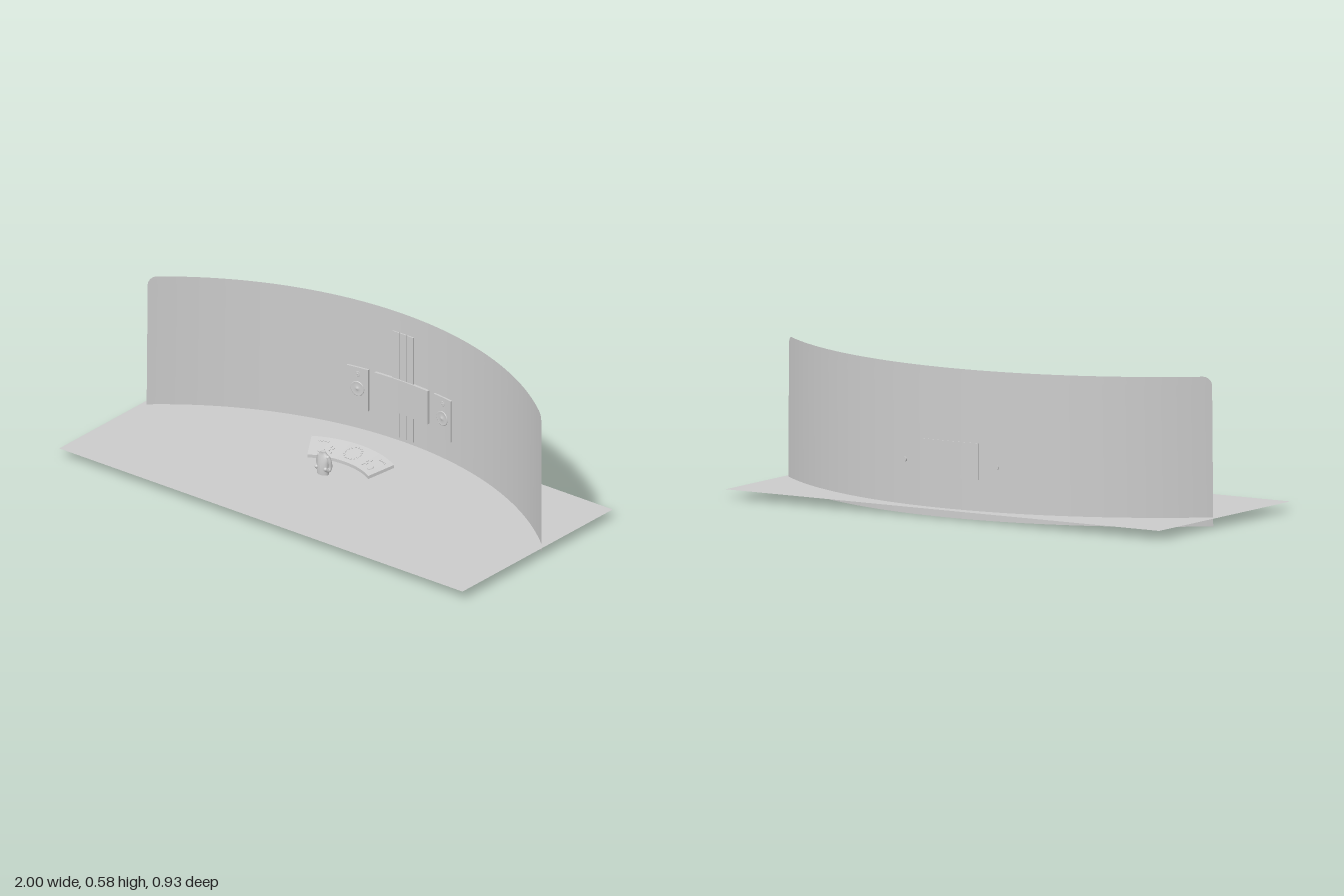
import * as THREE from 'three';

const grey = new THREE.MeshStandardMaterial({ color: 0xcccccc });
const thin = new THREE.MeshStandardMaterial({ color: 0xcccccc, side: THREE.DoubleSide });

// Wall arc: radius, centre in z, half angle, height
const R = 1.492, ZC = 1.075, HALF = 0.7166, H = 0.585;
const FLOOR = 0.035;

function add(parent, name, geometry, material = grey) {
  const mesh = new THREE.Mesh(geometry, material);
  mesh.name = name;
  parent.add(mesh);
  return mesh;
}

// Apply a rule to every vertex
function warp(geometry, rule) {
  const p = geometry.attributes.position;
  const v = new THREE.Vector3();
  for (let i = 0; i < p.count; i++) {
    v.fromBufferAttribute(p, i);
    rule(v);
    p.setXYZ(i, v.x, v.y, v.z);
  }
  geometry.computeVertexNormals();
  return geometry;
}

// Box wrapped along the wall; front and back are depths from its face
function wallPanel(x, width, y0, y1, front, back, segs = 10) {
  const g = new THREE.BoxGeometry(width, y1 - y0, front - back, segs, 1, 1);
  g.translate(x, (y0 + y1) / 2, (front + back) / 2);
  return warp(g, v => {
    const a = v.x / R, r = R - v.z;
    v.set(r * Math.sin(a), v.y, ZC - r * Math.cos(a));
  });
}

// Curved wall with rounded upper corners
function wallGeometry() {
  const rows = 12, corner = 0.035;
  return warp(new THREE.PlaneGeometry(2, rows, 96, rows), v => {
    const row = Math.round(v.y + rows / 2);
    const t = row === 0 ? 0 : ((row - 1) / (rows - 1)) * Math.PI / 2;
    const y = row === 0 ? 0 : H - corner + corner * Math.sin(t);
    const inset = corner * (1 - Math.cos(t)) + 0.006 * Math.max(0, (y - 0.45) / 0.135);
    const a = v.x * (HALF - inset / R);
    v.set(R * Math.sin(a), y, ZC - R * Math.cos(a));
  });
}

// Speaker: cabinet, woofer and tweeter facing the arc centre
function makeSpeaker(side) {
  const g = new THREE.Group();
  g.name = side > 0 ? 'leftSpeaker' : 'rightSpeaker';
  add(g, 'cabinet', wallPanel(side * 0.212, 0.097, 0.123, 0.3, 0.009, 0.0005));
  const drivers = new THREE.Group();
  drivers.name = 'drivers';
  const a = side * 0.212 / R, r = R - 0.009;
  drivers.position.set(r * Math.sin(a), 0, ZC - r * Math.cos(a));
  drivers.rotation.y = -a;
  for (const [name, y, s] of [['woofer', 0.21, 0.028], ['tweeter', 0.272, 0.011]]) {
    const ring = add(drivers, name + 'Ring', new THREE.TorusGeometry(s, s * 0.1, 8, 32));
    ring.position.y = y;
    const profile = [[0, 0.2], [0.22, 0.17], [0.38, 0.03], [0.9, 0.09], [1, 0.09]]
      .map(([x, h]) => new THREE.Vector2(x * s, h * s));
    const cone = add(drivers, name + 'Cone', new THREE.LatheGeometry(profile, 32), thin);
    cone.rotation.x = Math.PI / 2;
    cone.position.y = y;
  }
  // Woofer housing passing through the wall
  const back = add(drivers, 'wooferHousing', new THREE.CylinderGeometry(0.009, 0.009, 0.016, 20));
  back.rotation.x = Math.PI / 2;
  back.position.set(0, 0.21, -0.006);
  g.add(drivers);
  return g;
}

// Control desk: sector slab rising with radius
const DESK = { z: 0.25, inner: 0.302, outer: 0.408, half: 0.525, y: 0.09, slope: 0.27 };

function deskGeometry() {
  return warp(new THREE.BoxGeometry(2, 0.013, 1, 28, 1, 1), v => {
    const a = v.x * DESK.half;
    const r = THREE.MathUtils.lerp(DESK.outer, DESK.inner, v.z + 0.5);
    v.set(r * Math.sin(a), DESK.y - 0.0065 + v.y + (r - DESK.inner) * DESK.slope, DESK.z - r * Math.cos(a));
  });
}

function onDesk(parent, name, geometry, a, r) {
  const m = add(parent, name, geometry);
  m.position.set(r * Math.sin(a), DESK.y + (r - DESK.inner) * DESK.slope, DESK.z - r * Math.cos(a));
  m.rotation.order = 'YXZ';
  m.rotation.set(Math.atan(DESK.slope), -a, 0);
  return m;
}

function makeDesk() {
  const g = new THREE.Group();
  g.name = 'controlDesk';
  add(g, 'deskTop', deskGeometry());
  // Ring of keys in the middle
  for (let i = 0; i < 16; i++) {
    const t = i * Math.PI / 8;
    const x = 0.035 * Math.cos(t), r = 0.357 + 0.035 * Math.sin(t);
    onDesk(g, 'ringKey', new THREE.BoxGeometry(0.007, 0.004, 0.007), x / r, r);
  }
  for (const s of [-1, 1]) {
    onDesk(g, 'dial', new THREE.CylinderGeometry(0.013, 0.015, 0.007, 24), s * 0.377, 0.333);
    for (let i = 0; i < 4; i++) {
      onDesk(g, 'smallKey', new THREE.BoxGeometry(0.007, 0.004, 0.008), s * (0.34 + i * 0.032), 0.385);
      onDesk(g, 'slider', new THREE.BoxGeometry(0.005, 0.006, 0.01), s * (0.245 + (i % 2) * 0.035), 0.328 + i * 0.011);
    }
  }
  return g;
}

// Upper body with slung arms
function makeTorso() {
  const g = new THREE.Group();
  g.name = 'operator';
  // height, half width, half depth, centre z
  const rings = [
    [0.09, 0.026, 0.018, 0.08], [0.115, 0.026, 0.018, 0.081], [0.14, 0.026, 0.016, 0.08],
    [0.158, 0.027, 0.014, 0.078], [0.17, 0.022, 0.012, 0.077], [0.177, 0.013, 0.010, 0.077],
    [0.185, 0.010, 0.009, 0.079],
  ];
  const n = 24;
  const geometry = warp(new THREE.CylinderGeometry(1, 1, rings.length - 1, n, rings.length - 1), v => {
    const [y, w, d, z] = rings[Math.round(v.y + (rings.length - 1) / 2)];
    v.set(v.x * w, y, z + v.z * d);
  });
  add(g, 'torso', geometry);
  for (const s of [-1, 1]) {
    const path = new THREE.CatmullRomCurve3([[0.022, 0.163, 0.077], [0.029, 0.145, 0.074],
      [0.03, 0.12, 0.073], [0.028, 0.11, 0.08], [0.022, 0.118, 0.092]]
      .map(([x, y, z]) => new THREE.Vector3(s * x, y, z)));
    add(g, 'arm', new THREE.TubeGeometry(path, 20, 0.008, 10));
    for (const t of [0, 1]) {
      add(g, t ? 'hand' : 'shoulder', new THREE.SphereGeometry(0.0082, 12, 8)).position.copy(path.getPoint(t));
    }
  }
  return g;
}

export function createModel() {
  const model = new THREE.Group();
  model.name = 'controlRoom';

  // Floor
  const floor = add(model, 'floor', new THREE.PlaneGeometry(2, 0.925), thin);
  floor.rotation.x = -Math.PI / 2;
  floor.position.y = FLOOR;

  add(model, 'curvedWall', wallGeometry(), thin);

  // Three upright strips behind the screen
  for (const i of [-1, 0, 1]) {
    add(model, 'wallStrip', wallPanel(i * 0.036, 0.033, 0.05, 0.5, 0.006, 0.0005, 4));
  }

  // Screen set through the wall
  add(model, 'screen', wallPanel(0, 0.266, 0.157, 0.3, 0.012, -0.003, 16));

  for (const s of [-1, 1]) model.add(makeSpeaker(s));
  model.add(makeDesk(), makeTorso());
  return model;
}
